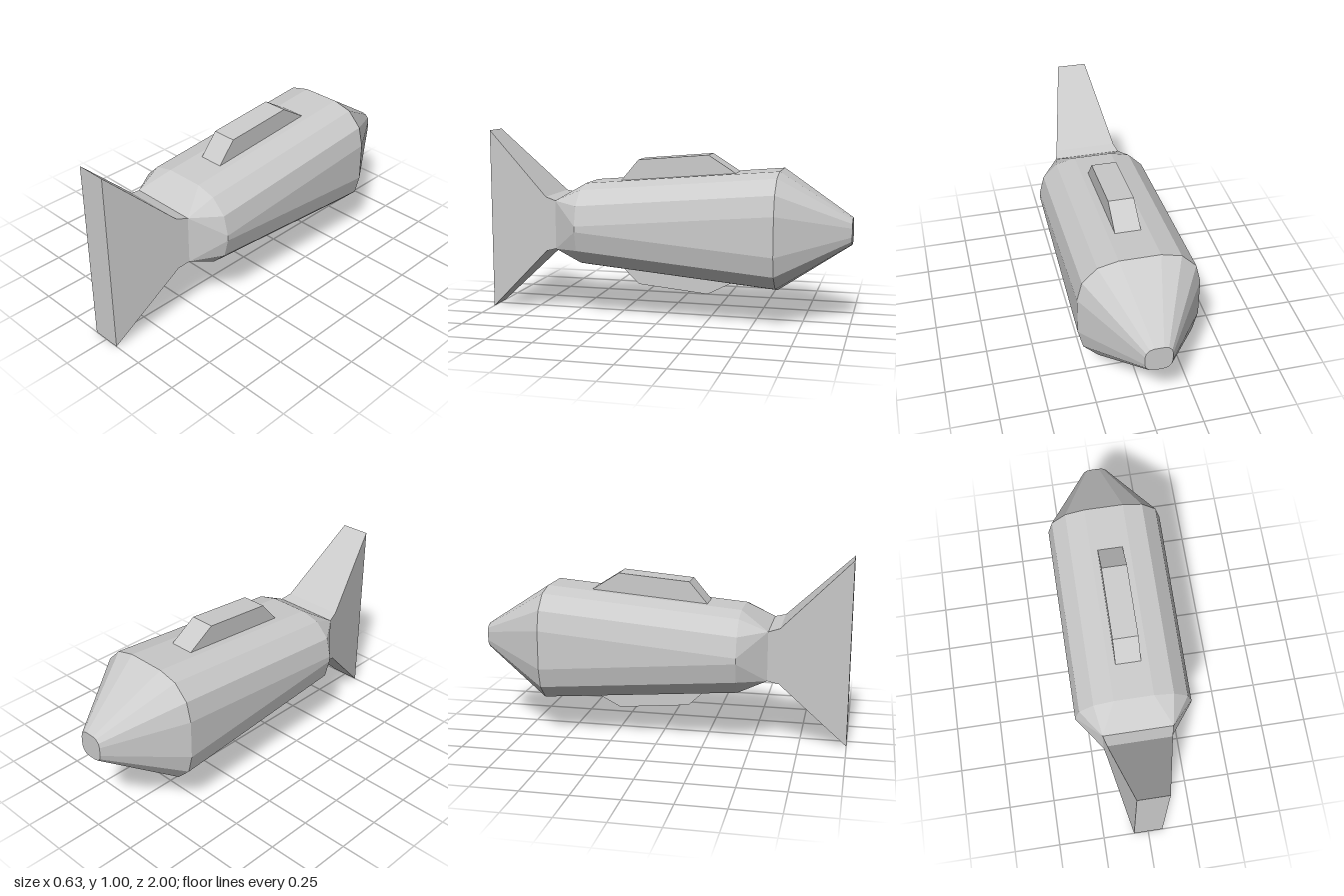
import * as THREE from 'three';

const MID = 0.5; // height of the body's axis

// Mirror one corner's points [x, y] into a closed loop, counterclockwise seen from +z
function ring(corner, z) {
  const back = [...corner].reverse();
  return [
    ...corner.map(([x, y]) => [x, y]),
    ...back.map(([x, y]) => [-x, y]),
    ...corner.map(([x, y]) => [-x, -y]),
    ...back.map(([x, y]) => [x, -y]),
  ].map(([x, y]) => new THREE.Vector3(x, y + MID, z));
}

// Skin rings given in order of rising z, with optional flat end caps
function loft(rings, capBack, capFront) {
  const pos = [];
  const tri = (a, b, c) => {
    if (new THREE.Triangle(a, b, c).getArea() < 1e-7) return;
    pos.push(...a.toArray(), ...b.toArray(), ...c.toArray());
  };
  const n = rings[0].length;
  for (let k = 0; k < rings.length - 1; k++) {
    const a = rings[k], b = rings[k + 1];
    for (let i = 0; i < n; i++) {
      const j = (i + 1) % n;
      tri(a[i], a[j], b[j]);
      tri(a[i], b[j], b[i]);
    }
  }
  const first = rings[0], last = rings[rings.length - 1];
  for (let i = 1; i < n - 1; i++) {
    if (capBack) tri(first[0], first[i + 1], first[i]);
    if (capFront) tri(last[0], last[i], last[i + 1]);
  }
  const geo = new THREE.BufferGeometry();
  geo.setAttribute('position', new THREE.Float32BufferAttribute(pos, 3));
  geo.computeVertexNormals();
  return geo;
}

export function createModel() {
  const group = new THREE.Group();
  const material = new THREE.MeshStandardMaterial({ color: 0xcccccc, flatShading: true });
  const add = (name, geo) => {
    const mesh = new THREE.Mesh(geo, material);
    mesh.name = name;
    group.add(mesh);
  };

  // Rounded-square corner of the widest section, and the square corner of the tail root
  const round = [[0.313, 0.105], [0.287, 0.21], [0.21, 0.287], [0.105, 0.313]];
  const root = round.map(() => [0.185, 0.132]);

  // Body: blunt nose, widest section, lower section, square tail root
  add('body', loft([
    ring(round.map(([x, y]) => [x * 0.22, y * 0.22]), -1),
    ring(round, -0.625),
    ring(round.map(([x, y]) => [x, y - 0.09]), 0.43),
    ring(root, 0.58),
  ], true, false));

  // Tail fin: flares in height and narrows in width
  add('tailFin', loft([
    ring([[0.185, 0.132]], 0.58),
    ring([[0.17, 0.149]], 0.64),
    ring([[0.08, 0.5]], 1),
  ], false, true));

  // Ridges above and below, drawn as [z, y] side profiles
  const ridges = {
    topRidge: [[-0.4, 0.785], [0.25, 0.73], [0.145, 0.854], [-0.24, 0.887]],
    bottomRidge: [[-0.4, 0.217], [-0.24, 0.134], [0.145, 0.17], [0.25, 0.272]],
  };
  for (const [name, profile] of Object.entries(ridges)) {
    const shape = new THREE.Shape(profile.map(([z, y]) => new THREE.Vector2(z, y)));
    const geo = new THREE.ExtrudeGeometry(shape, { depth: 0.134, bevelEnabled: false });
    geo.translate(0, 0, -0.067).rotateY(-Math.PI / 2);
    add(name, geo);
  }
  return group;
}
